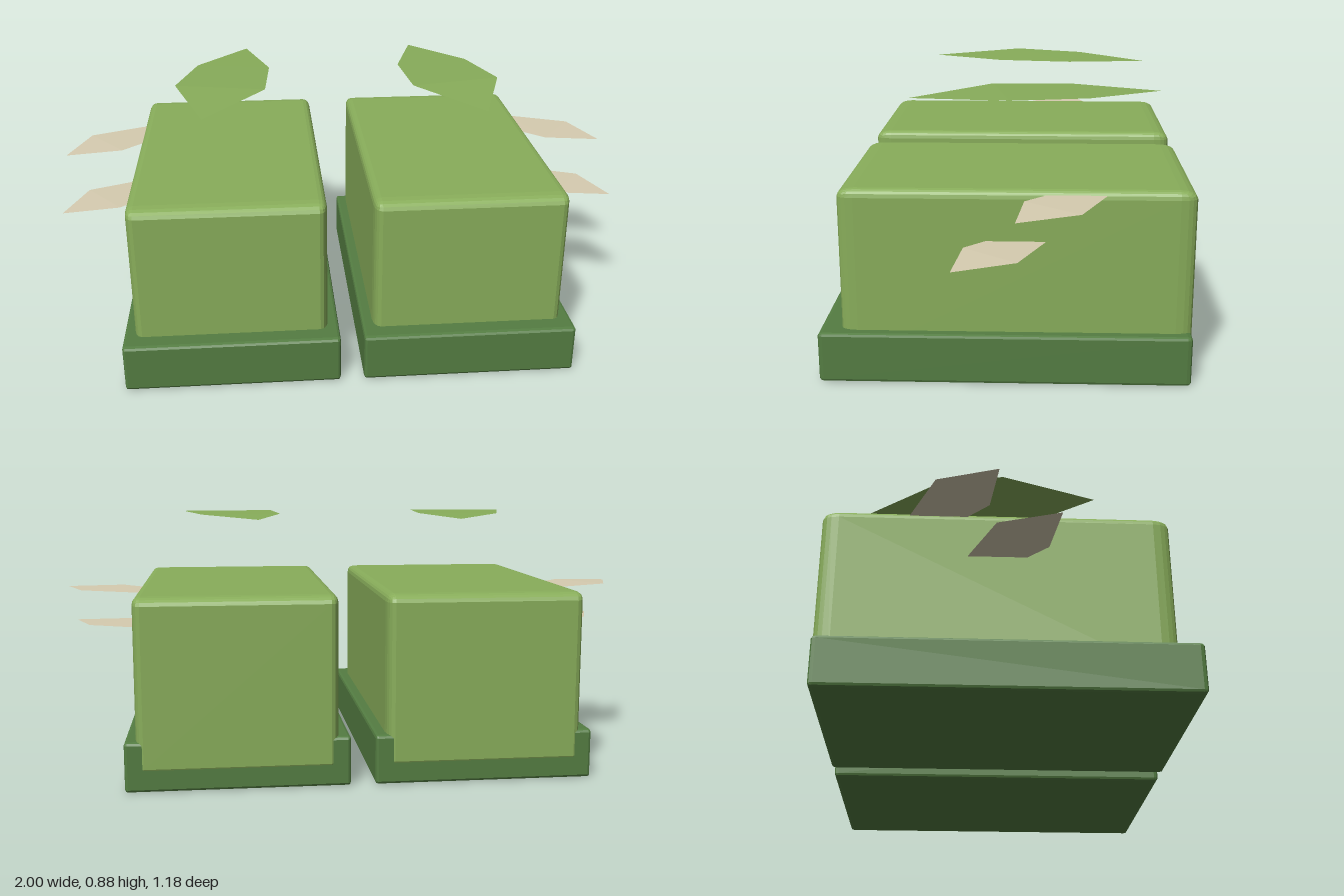
import * as THREE from 'three';
import { RoundedBoxGeometry } from 'three/addons/geometries/RoundedBoxGeometry.js';

const material = (color, side = THREE.FrontSide) =>
  new THREE.MeshStandardMaterial({ color, flatShading: true, side });

const upperGreen = material(0x88ad5a);
const soleGreen = material(0x547d42);
const leafGreen = material(0x88ad5a, THREE.DoubleSide);
const cream = material(0xd6ccb0, THREE.DoubleSide);

// Bevelled block between two corners; stretch lengthens the bevel along z
function block(name, min, max, radius, segments, stretch, mat) {
  const size = max.map((v, i) => v - min[i]);
  const geometry = new RoundedBoxGeometry(size[0], size[1], size[2] / stretch, segments, radius);
  geometry.scale(1, 1, stretch);
  geometry.translate(...max.map((v, i) => (v + min[i]) / 2));
  const mesh = new THREE.Mesh(geometry, mat);
  mesh.name = name;
  return mesh;
}

// Thin six-sided leaf, listed around its outline as [x, y, z]
function leaf(name, points, mat) {
  const geometry = new THREE.BufferGeometry();
  geometry.setAttribute('position', new THREE.Float32BufferAttribute(points.flat(), 3));
  // two tips (0 and 3) joined by a flat middle
  geometry.setIndex([0, 5, 1, 1, 5, 4, 1, 4, 2, 2, 4, 3]);
  geometry.computeVertexNormals();
  const mesh = new THREE.Mesh(geometry, mat);
  mesh.name = name;
  return mesh;
}

function createShoe() {
  const shoe = new THREE.Group();
  shoe.add(block('sole', [0.04, 0, -0.59], [0.77, 0.165, 0.59], 0.01, 1, 1.5, soleGreen));
  shoe.add(block('upper', [0.077, 0.05, -0.592], [0.735, 0.628, 0.52], 0.027, 2, 2, upperGreen));

  // Large leaf floating above the shoe, drooping at both tips
  shoe.add(leaf('topLeaf', [
    [0.33, 0.865, -0.51], [0.245, 0.873, -0.215], [0.265, 0.876, 0.055],
    [0.48, 0.864, 0.32], [0.585, 0.877, -0.01], [0.515, 0.873, -0.265],
  ], leafGreen));

  // Two pale leaves rooted in the outer side
  for (const [y, z, name] of [[0.612, 0, 'upperSideLeaf'], [0.464, 0.185, 'lowerSideLeaf']]) {
    const sideLeaf = leaf(name, [
      [0.6, -0.003, -0.3], [0.72, 0.002, -0.32], [0.93, 0.003, -0.23],
      [1, -0.002, -0.04], [0.8, 0.003, -0.062], [0.68, 0.002, -0.18],
    ], cream);
    sideLeaf.position.set(0, y, z);
    shoe.add(sideLeaf);
  }
  return shoe;
}

export function createModel() {
  const model = new THREE.Group();
  model.name = 'leafShoes';
  for (const [name, side] of [['leftShoe', 1], ['rightShoe', -1]]) {
    const shoe = createShoe();
    shoe.name = name;
    shoe.scale.x = side;
    model.add(shoe);
  }
  return model;
}
